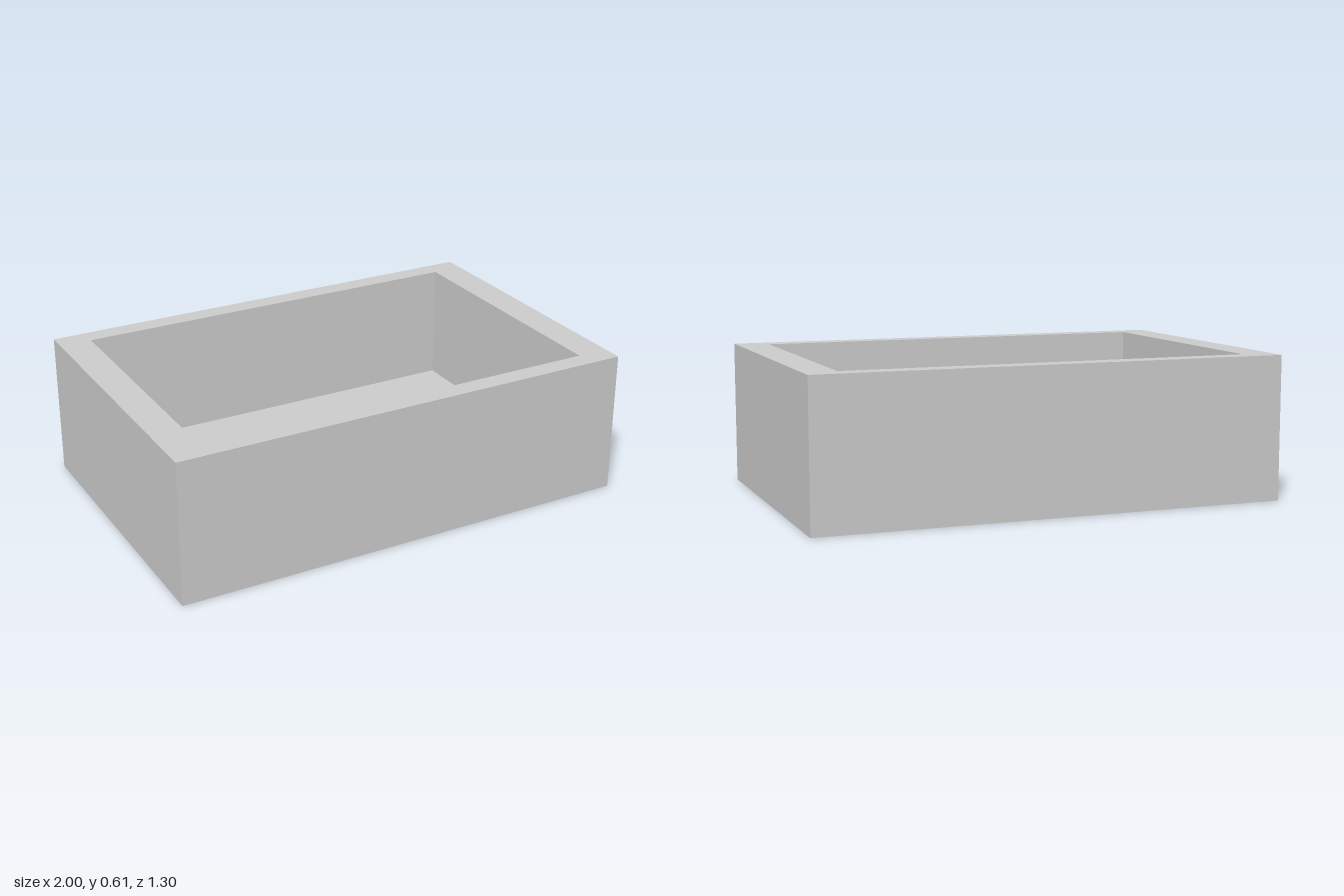
import * as THREE from 'three';

const HEIGHT = 0.61, FLOOR = 0.1;
const OUTER = [1, 0.65], INNER = [0.864, 0.565]; // half width, half depth

// Rectangle at height y, anticlockwise seen from above
function ring([hx, hz], y) {
  return [[hx, y, hz], [hx, y, -hz], [-hx, y, -hz], [-hx, y, hz]];
}

export function createModel() {
  const group = new THREE.Group();
  group.name = 'openBox';

  // Cross-sections from the underside, up and over the rim, down to the floor
  const rings = [ring(OUTER, 0), ring(OUTER, HEIGHT), ring(INNER, HEIGHT), ring(INNER, FLOOR)];
  const positions = [];
  const quad = (a, b, c, d) => positions.push(...a, ...b, ...c, ...a, ...c, ...d);

  // Outer walls, rim and inner walls
  for (let r = 0; r < 3; r++) {
    for (let i = 0; i < 4; i++) {
      const j = (i + 1) % 4;
      quad(rings[r][i], rings[r][j], rings[r + 1][j], rings[r + 1][i]);
    }
  }
  // Inside floor and underside
  quad(...rings[3]);
  quad(...[...rings[0]].reverse());

  const geometry = new THREE.BufferGeometry();
  geometry.setAttribute('position', new THREE.Float32BufferAttribute(positions, 3));
  geometry.computeVertexNormals();

  const tray = new THREE.Mesh(geometry, new THREE.MeshStandardMaterial({ color: 0xcccccc }));
  tray.name = 'tray';
  group.add(tray);
  return group;
}
